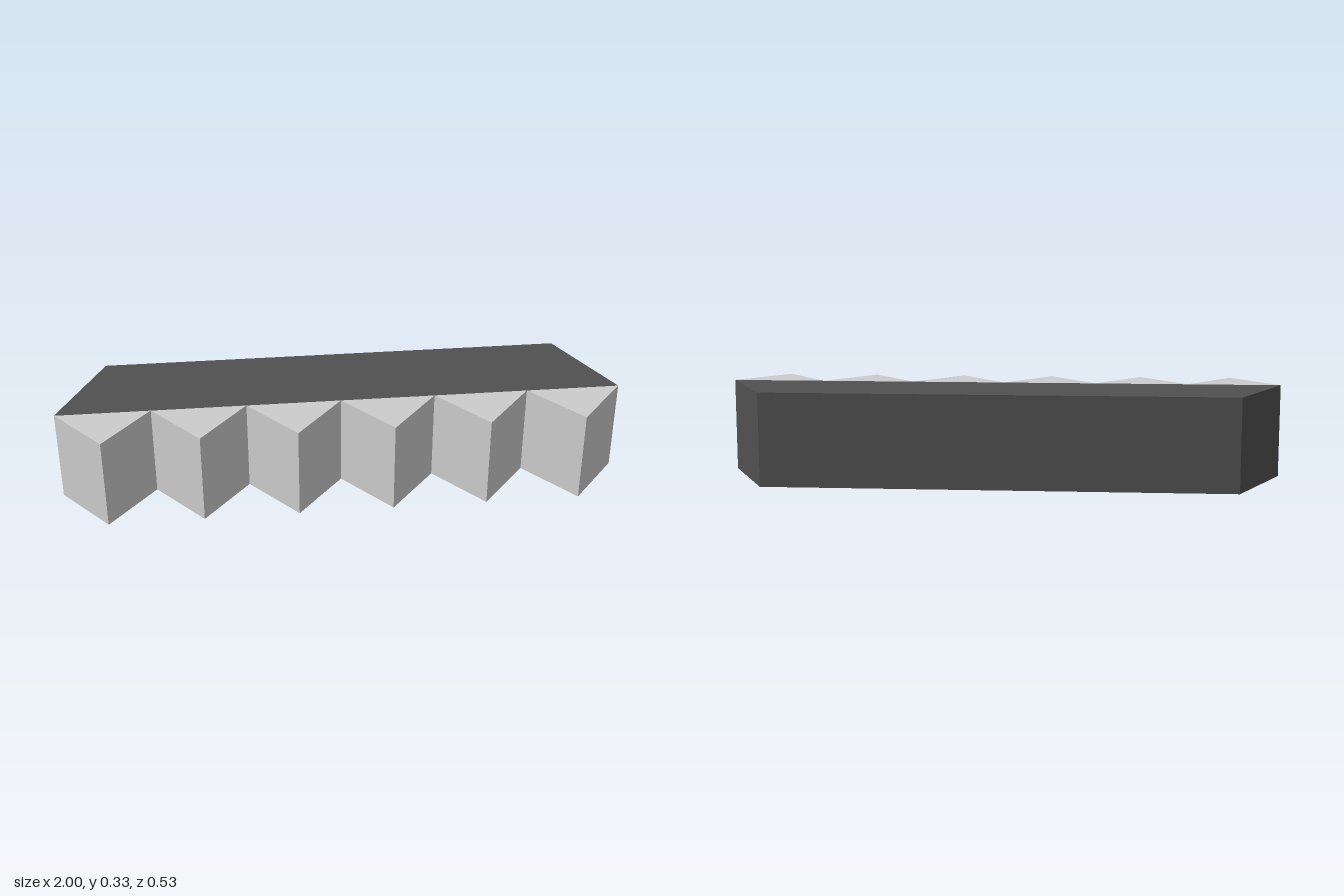
import * as THREE from 'three';

const HEIGHT = 1 / 3, FRONT = 0.067, TIP = 0.267, BACK = -0.267;
const TEETH = 6, PITCH = 2 / TEETH;

// Upright prism from a ground plan of [x, z] corners
function prism(plan) {
  const shape = new THREE.Shape(plan.map(([x, z]) => new THREE.Vector2(x, -z)));
  const geometry = new THREE.ExtrudeGeometry(shape, { depth: HEIGHT, bevelEnabled: false });
  return geometry.rotateX(-Math.PI / 2);
}

export function createModel() {
  const model = new THREE.Group();
  const dark = new THREE.MeshStandardMaterial({ color: 0x505050, flatShading: true });
  const grey = new THREE.MeshStandardMaterial({ color: 0xcccccc, flatShading: true });

  // Body: a bar that narrows toward the back
  const body = new THREE.Mesh(
    prism([[-1, FRONT], [1, FRONT], [1 - PITCH / 2, BACK], [-1 + PITCH / 2, BACK]]), dark);
  body.name = 'body';
  model.add(body);

  // Teeth: triangular prisms along the front, with a dark underside
  const toothGeometry = prism([[-PITCH / 2, FRONT], [0, TIP], [PITCH / 2, FRONT]]);
  toothGeometry.clearGroups();
  toothGeometry.addGroup(0, 3, 1); // underside triangle
  toothGeometry.addGroup(3, toothGeometry.attributes.position.count - 3, 0);
  const teeth = new THREE.Group();
  teeth.name = 'teeth';
  for (let i = 0; i < TEETH; i++) {
    const tooth = new THREE.Mesh(toothGeometry, [grey, dark]);
    tooth.name = 'tooth';
    tooth.position.x = -1 + (i + 0.5) * PITCH;
    teeth.add(tooth);
  }
  model.add(teeth);
  return model;
}
